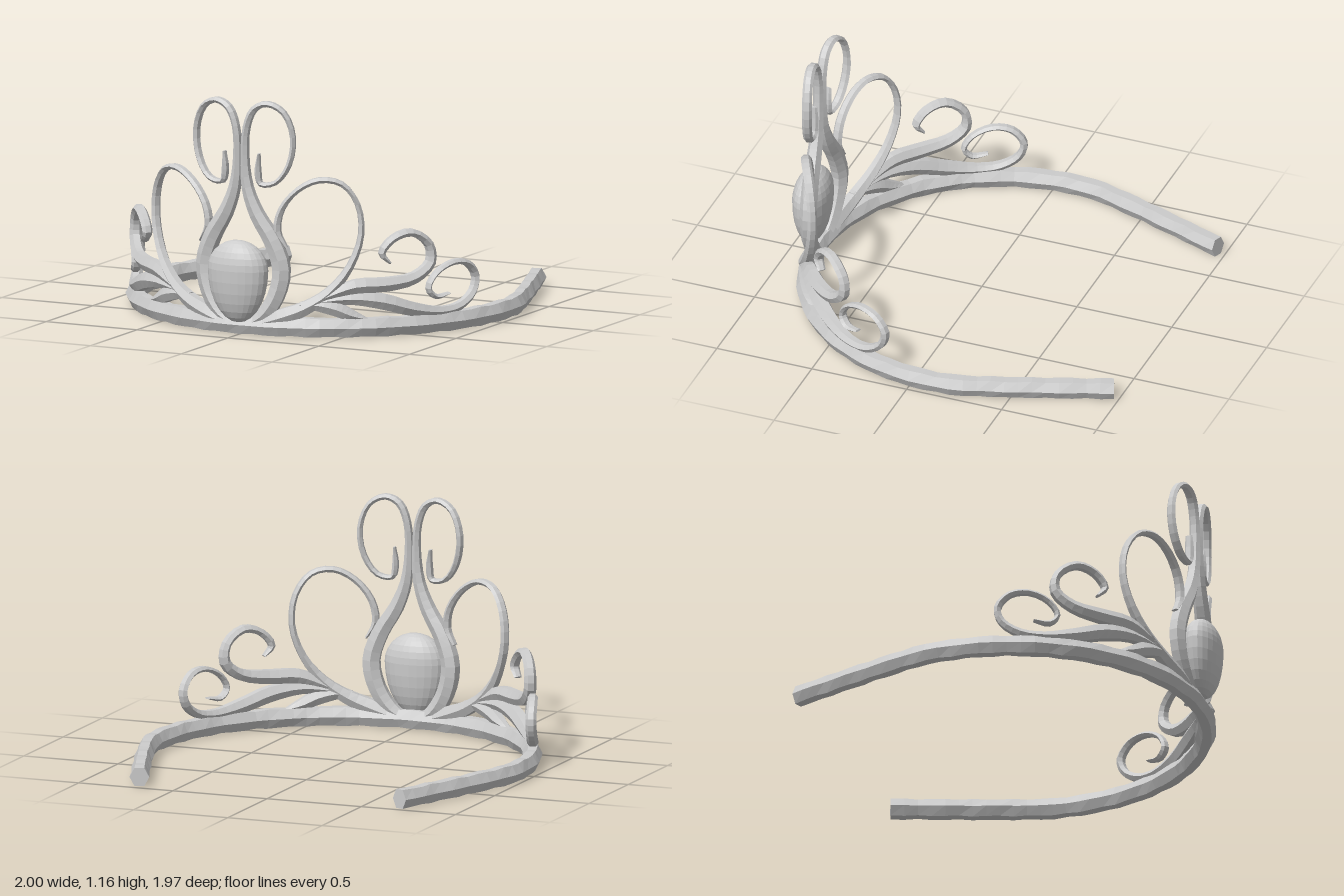
import * as THREE from 'three';

const R = 0.955;       // radius of the round front of the band
const CZ = -0.1;       // z of its centre
const material = new THREE.MeshStandardMaterial({ color: 0xcccccc, flatShading: true });

// angle around the band for a given front x or a given depth z
const atX = x => Math.asin(x / R);
const atZ = z => Math.acos((z - CZ) / R);

// Sweep a six-sided ridged section along centres [{p, w, d}]:
// w = half width, d = half depth measured outward from the head.
function sweep(name, stations) {
  const SIDES = 6, pos = [], idx = [];
  const last = stations.length - 1;
  stations.forEach(({ p, w, d }, i) => {
    const T = stations[Math.min(i + 1, last)].p.clone()
      .sub(stations[Math.max(i - 1, 0)].p).normalize();
    const N = new THREE.Vector3(p.x, 0, p.z - CZ).normalize();
    N.addScaledVector(T, -N.dot(T)).normalize();
    const B = new THREE.Vector3().crossVectors(T, N);
    for (let k = 0; k < SIDES; k++) {
      const a = k / SIDES * Math.PI * 2;
      const v = p.clone().addScaledVector(N, Math.cos(a) * d)
        .addScaledVector(B, Math.sin(a) * w / 0.866);
      pos.push(v.x, v.y, v.z);
    }
  });
  for (let i = 0; i < last; i++) {
    for (let k = 0; k < SIDES; k++) {
      const a = i * SIDES + k, b = i * SIDES + (k + 1) % SIDES;
      idx.push(a, b, a + SIDES, b, b + SIDES, a + SIDES);
    }
  }
  const e = last * SIDES;
  for (let k = 1; k < SIDES - 1; k++) idx.push(0, k + 1, k, e, e + k, e + k + 1);
  const geo = new THREE.BufferGeometry();
  geo.setAttribute('position', new THREE.Float32BufferAttribute(pos, 3));
  geo.setIndex(idx);
  const flat = geo.toNonIndexed();
  flat.computeVertexNormals();
  const mesh = new THREE.Mesh(flat, material);
  mesh.name = name;
  return mesh;
}

// Scroll lying on the band's cylinder; points are [angle, y, half width]
function scroll(name, points, side) {
  const curve = new THREE.CatmullRomCurve3(
    points.map(([a, y, w]) => new THREE.Vector3(a * R, y, w)));
  const n = (points.length - 1) * 3;
  const stations = [];
  for (let i = 0; i <= n; i++) {
    const q = curve.getPoint(i / n), a = q.x / R;
    stations.push({
      p: new THREE.Vector3(side * R * Math.sin(a), q.y, CZ + R * Math.cos(a)),
      w: q.z, d: 0.016 + 0.65 * q.z,
    });
  }
  return sweep(name, stations);
}

const front = pts => pts.map(([x, y, w]) => [atX(x), y, w]);
const flank = pts => pts.map(([z, y, w]) => [atZ(z), y, w]);

const scrolls = {
  // frames the gem, then rises and curls outward
  centreScroll: front([
    [0.02, 0.05, 0.02], [0.11, 0.1, 0.035], [0.18, 0.2, 0.04], [0.21, 0.34, 0.042],
    [0.165, 0.48, 0.04], [0.085, 0.61, 0.034], [0.035, 0.74, 0.026], [0.02, 0.9, 0.018],
    [0.03, 1.04, 0.016], [0.07, 1.13, 0.016], [0.14, 1.16, 0.014], [0.22, 1.12, 0.013],
    [0.265, 1.0, 0.013], [0.245, 0.86, 0.013], [0.18, 0.77, 0.012], [0.105, 0.76, 0.012],
    [0.09, 0.82, 0.014], [0.095, 0.91, 0.005]]),
  // big loop that curls back to the centre
  largeScroll: front([
    [0.08, 0.06, 0.03], [0.2, 0.1, 0.04], [0.32, 0.15, 0.034], [0.43, 0.23, 0.026],
    [0.52, 0.36, 0.018], [0.565, 0.52, 0.014], [0.55, 0.67, 0.013], [0.485, 0.77, 0.013],
    [0.39, 0.79, 0.014], [0.29, 0.74, 0.014], [0.21, 0.64, 0.015], [0.19, 0.53, 0.016],
    [0.235, 0.45, 0.006]]),
  // upper side branch
  upperSideScroll: front([
    [0.34, 0.17, 0.015], [0.44, 0.22, 0.026], [0.54, 0.26, 0.034], [0.66, 0.265, 0.034],
    [0.76, 0.29, 0.028], [0.81, 0.36, 0.024], [0.805, 0.45, 0.02], [0.75, 0.515, 0.019],
    [0.685, 0.49, 0.018], [0.645, 0.42, 0.016], [0.675, 0.37, 0.006]]),
  // lower side branch with a small loop around the temple
  lowerSideScroll: flank([
    [0.79, 0.18, 0.015], [0.7, 0.2, 0.028], [0.6, 0.18, 0.038], [0.49, 0.135, 0.034],
    [0.36, 0.11, 0.024], [0.25, 0.125, 0.02], [0.165, 0.185, 0.018], [0.145, 0.26, 0.017],
    [0.2, 0.33, 0.015], [0.29, 0.345, 0.013], [0.38, 0.3, 0.012], [0.415, 0.23, 0.012],
    [0.38, 0.185, 0.012], [0.31, 0.195, 0.005]]),
  // short leaf pointing down to the band
  leaf: front([
    [0.3, 0.17, 0.012], [0.38, 0.17, 0.03], [0.46, 0.15, 0.035],
    [0.52, 0.12, 0.028], [0.59, 0.095, 0.006]]),
};

// Open band: round front, straight tapering arms, slightly hammered surface
function band() {
  const pts = [[0.69, -0.97], [0.79, -0.7], [0.895, -0.4]];
  for (let i = 0; i <= 6; i++) {
    const a = (96 - i * 16) * Math.PI / 180;
    pts.push([R * Math.sin(a), CZ + R * Math.cos(a)]);
  }
  const mirrored = pts.slice(0, -1).reverse().map(([x, z]) => [-x, z]);
  const curve = new THREE.CatmullRomCurve3(
    [...pts, ...mirrored].map(([x, z]) => new THREE.Vector3(x, 0.057, z)));
  const stations = [], n = 72;
  for (let i = 0; i <= n; i++) {
    const p = curve.getPointAt(i / n);
    stations.push({
      p,
      w: 0.045 + 0.003 * Math.sin(i * 2.3),
      d: 0.046 + 0.003 * Math.sin(i * 1.7 + 1),
    });
  }
  return sweep('band', stations);
}

// Egg-shaped stone, narrow end down
function gem() {
  const profile = [];
  for (let i = 0; i <= 14; i++) {
    const t = i / 14 * Math.PI;
    const c = -Math.cos(t);
    profile.push(new THREE.Vector2(
      Math.max(0, 0.16 * Math.sin(t)), c < 0 ? c * 0.265 : c * 0.145));
  }
  const mesh = new THREE.Mesh(new THREE.LatheGeometry(profile, 24), material);
  mesh.name = 'gem';
  mesh.scale.z = 0.57;
  mesh.position.set(0, 0.335, 0.89);
  return mesh;
}

export function createModel() {
  const model = new THREE.Group();
  model.name = 'tiara';
  model.add(band(), gem());
  for (const [side, label] of [[1, 'left'], [-1, 'right']]) {
    const half = new THREE.Group();
    half.name = label + 'Ornament';
    for (const [name, points] of Object.entries(scrolls)) half.add(scroll(name, points, side));
    model.add(half);
  }
  return model;
}
